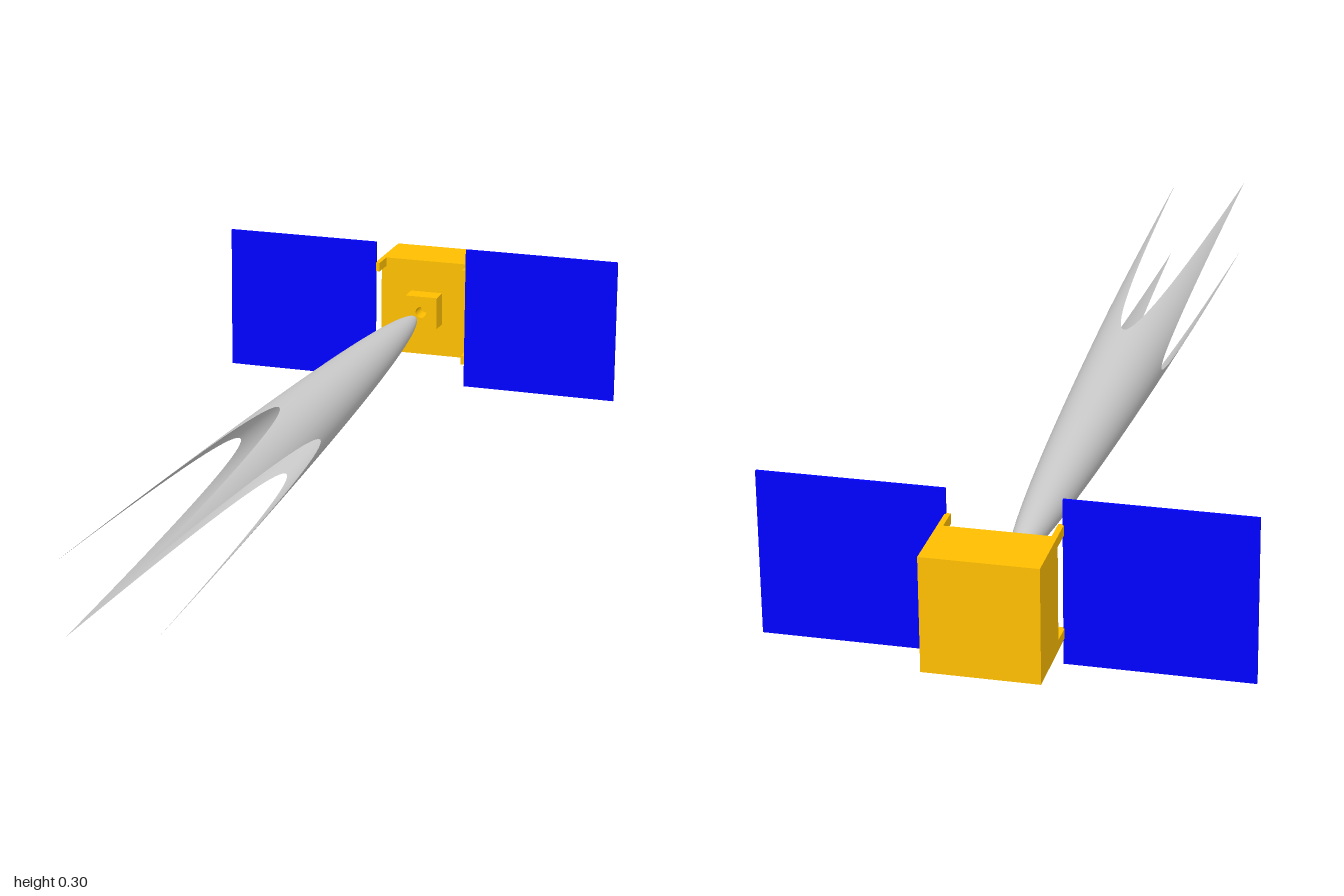
import * as THREE from 'three';

const gold = new THREE.MeshStandardMaterial({ color: 0xffbf00 });
const blue = new THREE.MeshStandardMaterial({ color: 0x0000ff });
const grey = new THREE.MeshStandardMaterial({ color: 0xcccccc, side: THREE.DoubleSide });

const CY = 0.154; // height of the long axis

// Box given by its minimum and maximum corners
function box(name, material, [x0, y0, z0], [x1, y1, z1]) {
  const mesh = new THREE.Mesh(new THREE.BoxGeometry(x1 - x0, y1 - y0, z1 - z0), material);
  mesh.position.set((x0 + x1) / 2, (y0 + y1) / 2, (z0 + z1) / 2);
  mesh.name = name;
  return mesh;
}

// Paraboloid z = apex + r^2 / k, trimmed by a square around its axis
function createReflector() {
  const left = 0.0718, right = -0.0735, top = 0.0735, bottom = -0.0718;
  const apex = -0.79;
  const k = (right * right + top * top) / (1 - apex);
  const corners = [[left, bottom], [left, top], [right, top], [right, bottom], [left, bottom]];
  const geometry = new THREE.PlaneGeometry(1, 1, 160, 60);
  const pos = geometry.attributes.position;
  const normals = geometry.attributes.normal;
  const n = new THREE.Vector3();
  for (let i = 0; i < pos.count; i++) {
    // u walks round the square, s goes from the apex to the trimmed rim
    const u = (pos.getX(i) + 0.5) * 4;
    const s = pos.getY(i) + 0.5;
    const side = Math.min(3, Math.floor(u + 1e-6));
    const f = u - side;
    const [a, b] = [corners[side], corners[side + 1]];
    const x = (a[0] + (b[0] - a[0]) * f) * s;
    const y = (a[1] + (b[1] - a[1]) * f) * s;
    pos.setXYZ(i, x, y + CY, apex + (x * x + y * y) / k);
    n.set(x, y, -k / 2).normalize();
    normals.setXYZ(i, n.x, n.y, n.z);
  }
  const mesh = new THREE.Mesh(geometry, grey);
  mesh.name = 'reflector';
  return mesh;
}

// Square feed block with a round bore facing the reflector
function createFeed() {
  const h = 0.035, depth = 0.042;
  const shape = new THREE.Shape([[-h, -h], [h, -h], [h, h], [-h, h]].map(p => new THREE.Vector2(...p)));
  shape.holes.push(new THREE.Path().absarc(0, 0, 0.012, 0, Math.PI * 2, true));
  const geometry = new THREE.ExtrudeGeometry(shape, { depth, bevelEnabled: false, curveSegments: 16 });
  const mesh = new THREE.Mesh(geometry, gold);
  mesh.position.set(0, CY, -0.878);
  mesh.name = 'feedBlock';
  return mesh;
}

export function createModel() {
  const model = new THREE.Group();
  model.name = 'satellite';

  model.add(box('body', gold, [-0.102, 0.048, -1], [0.102, 0.258, -0.878]));
  model.add(createFeed(), createReflector());

  // Solar panels and the corner arms that carry them, mirrored left and right
  for (const [label, s] of [['left', 1], ['right', -1]]) {
    const [x0, x1] = s > 0 ? [0.1, 0.43] : [-0.43, -0.1];
    model.add(box(label + 'SolarPanel', blue, [x0, 0, -0.834], [x1, 0.304, -0.828]));
    const [a0, a1] = s > 0 ? [0.092, 0.102] : [-0.102, -0.092];
    for (const [level, y0] of [['Lower', 0.048], ['Upper', 0.239]]) {
      model.add(box(label + level + 'Arm', gold, [a0, y0, -0.878], [a1, y0 + 0.019, -0.83]));
    }
  }
  return model;
}
